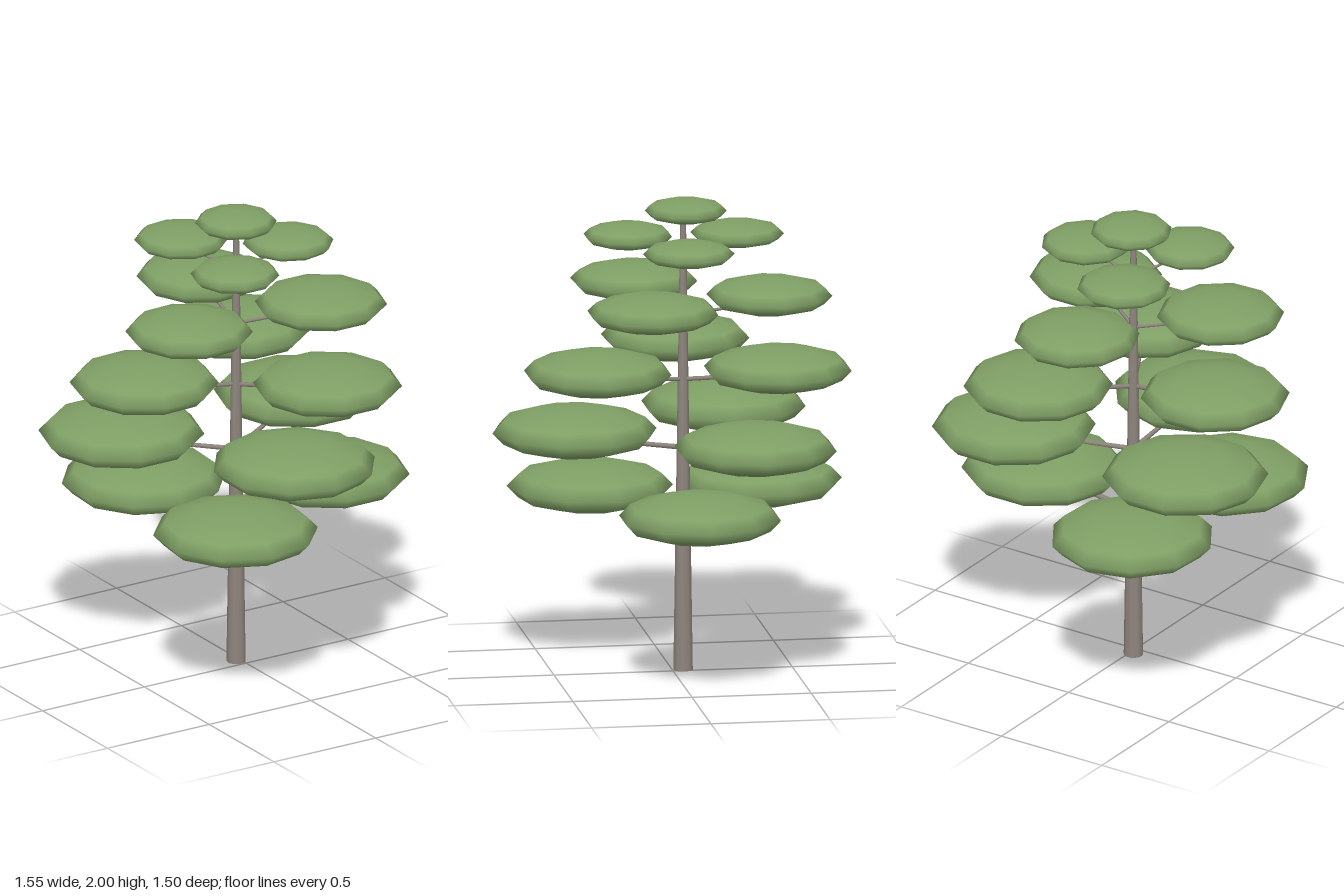
import * as THREE from 'three';

const TRUNK_X = -0.02, TRUNK_Z = -0.045;

// each tier: height, pad half thickness, pads as [x, z, radius, turn]
const TIERS = [
  { y: 0.745, h: 0.097, pads: [[0.43, -0.045, 0.34, 0], [-0.25, 0.31, 0.345, 0.2], [-0.25, -0.4, 0.345, 0.25]] },
  { y: 1.03, h: 0.097, pads: [[-0.025, 0.41, 0.345, 0.32], [0.42, -0.28, 0.34, 0], [-0.435, -0.28, 0.345, 0]] },
  { y: 1.32, h: 0.087, pads: [[-0.45, -0.08, 0.31, 0.05], [0.18, 0.345, 0.31, 0.0], [0.215, -0.405, 0.31, 0]] },
  { y: 1.59, h: 0.073, pads: [[-0.35, 0.11, 0.265, 0.05], [0.285, 0.13, 0.275, 0], [0.025, -0.4, 0.262, 0.1]] },
  { y: 1.822, h: 0.051, pads: [[-0.135, -0.29, 0.195, 0.1], [0.225, -0.03, 0.19, 0.2], [-0.16, 0.165, 0.185, 0]] },
];

export function createModel() {
  const tree = new THREE.Group();
  tree.name = 'tree';
  const foliage = new THREE.MeshStandardMaterial({ color: 0x7f9f65 });
  foliage.name = 'leaf green';
  const bark = new THREE.MeshStandardMaterial({ color: 0x8f857e });
  bark.name = 'grey bark';

  const add = (geometry, material, name, parent = tree) => {
    const mesh = new THREE.Mesh(geometry, material);
    mesh.name = name;
    parent.add(mesh);
    return mesh;
  };

  // flattened low sphere with soft shading
  const addPad = (parent, x, y, z, r, h, turn) => {
    const geometry = new THREE.SphereGeometry(1, 10, 6);
    geometry.rotateY(turn).scale(r, h, r);
    add(geometry, foliage, 'foliagePad', parent).position.set(x, y, z);
  };

  // thin limb between two points
  const addBranch = (parent, from, to, r) => {
    const dir = to.clone().sub(from);
    const branch = add(new THREE.CylinderGeometry(r * 0.6, r, dir.length(), 6), bark, 'branch', parent);
    branch.position.copy(from).lerp(to, 0.5);
    branch.quaternion.setFromUnitVectors(new THREE.Vector3(0, 1, 0), dir.normalize());
  };

  // tapering trunk
  add(new THREE.CylinderGeometry(0.012, 0.041, 1.94, 9), bark, 'trunk').position.set(TRUNK_X, 0.97, TRUNK_Z);

  // tiers of three limbs, each carrying a pad
  TIERS.forEach(({ y, h, pads }, i) => {
    const tier = new THREE.Group();
    tier.name = 'tier' + (i + 1);
    tree.add(tier);
    for (const [x, z, r, turn] of pads) {
      addPad(tier, x, y, z, r, h, turn);
      addBranch(tier, new THREE.Vector3(TRUNK_X, y - 0.085, TRUNK_Z),
        new THREE.Vector3(x, y - h * 0.3, z), 0.013 - i * 0.0015);
    }
  });

  // crown pad
  const crown = new THREE.Group();
  crown.name = 'crown';
  tree.add(crown);
  addPad(crown, -0.015, 1.952, -0.055, 0.17, 0.048, 0.15);

  return tree;
}
